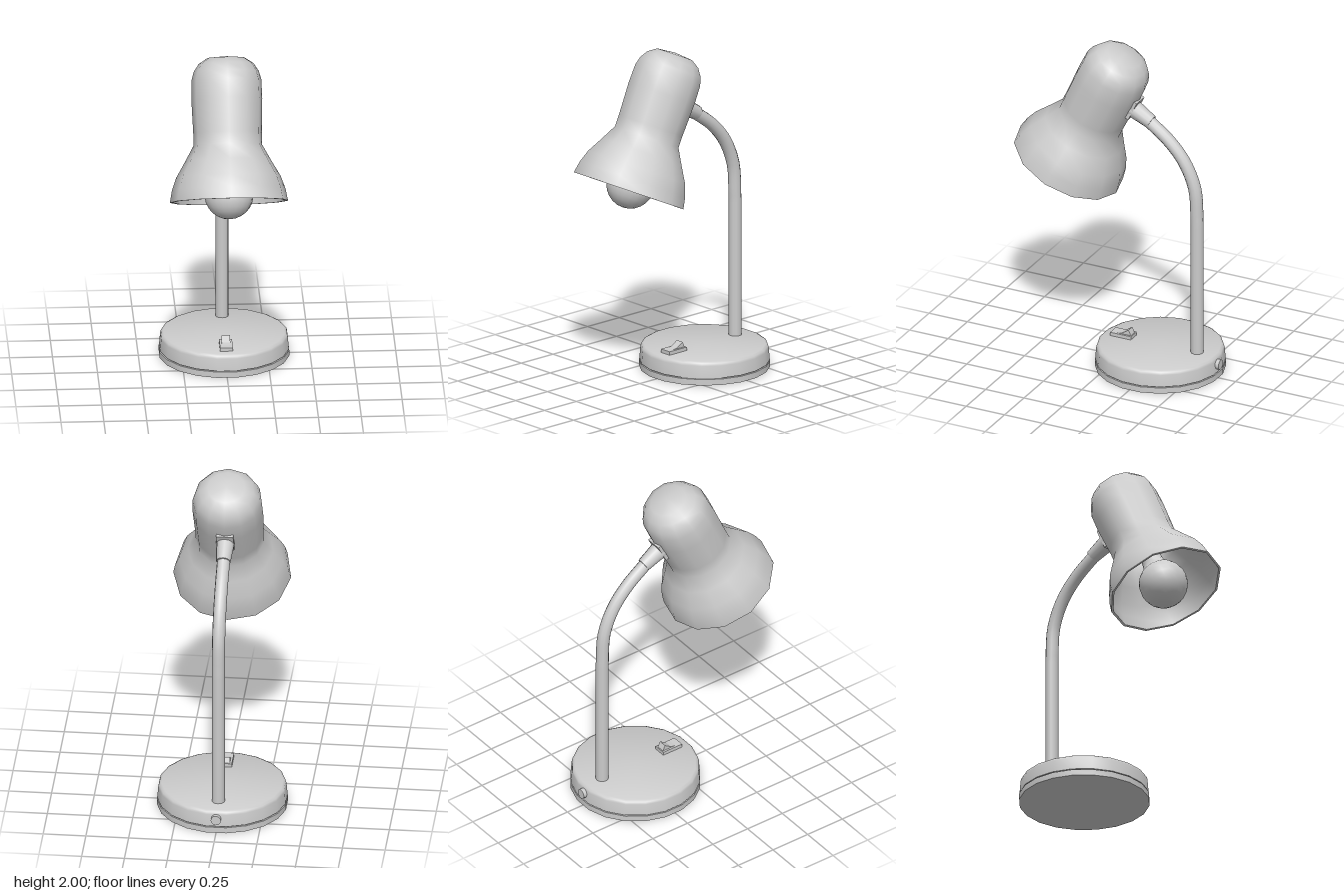
import * as THREE from 'three';
import { toCreasedNormals } from 'three/addons/utils/BufferGeometryUtils.js';

const material = new THREE.MeshStandardMaterial({ color: 0xcccccc });

function part(name, geometry, parent, x = 0, y = 0, z = 0) {
  const mesh = new THREE.Mesh(geometry, material);
  mesh.name = name;
  mesh.position.set(x, y, z);
  parent.add(mesh);
  return mesh;
}

// Revolve [radius, height] pairs listed from bottom to top
function lathe(profile, sides, start = 0) {
  return new THREE.LatheGeometry(profile.map(([r, h]) => new THREE.Vector2(r, h)), sides, start);
}

// Cylinder running from one point to another
function rod(name, a, b, ra, rb, parent) {
  const dir = b.clone().sub(a);
  const mesh = part(name, new THREE.CylinderGeometry(rb, ra, dir.length(), 12), parent);
  mesh.position.copy(a).addScaledVector(dir, 0.5);
  mesh.quaternion.setFromUnitVectors(new THREE.Vector3(0, 1, 0), dir.normalize());
}

export function createModel() {
  const lamp = new THREE.Group();
  lamp.name = 'deskLamp';

  // Round base: bottom ring, narrow groove and softly rounded upper body
  const base = new THREE.Group();
  base.name = 'base';
  base.position.z = -0.26;
  lamp.add(base);
  const sides = 20, start = Math.PI / sides;
  part('baseRing', toCreasedNormals(lathe(
    [[0, 0], [0.382, 0], [0.382, 0.036], [0.372, 0.036], [0.372, 0.045]], sides, start), 0.7), base);
  part('baseBody', toCreasedNormals(lathe(
    [[0.36, 0.042], [0.38, 0.042], [0.374, 0.115], [0.37, 0.13], [0.355, 0.138], [0, 0.139]],
    sides, start), 0.9), base);

  // Rocker switch on the base
  part('switchPlate', new THREE.BoxGeometry(0.075, 0.025, 0.135), lamp, 0, 0.147, -0.018);
  const wedge = new THREE.Shape([[0.02, 0.158], [-0.02, 0.164], [-0.064, 0.192], [-0.08, 0.158]]
    .map(([z, y]) => new THREE.Vector2(-z, y)));
  const rocker = new THREE.ExtrudeGeometry(wedge, { depth: 0.05, bevelEnabled: false });
  rocker.translate(0, 0, -0.025).rotateY(Math.PI / 2);
  part('switchRocker', rocker, lamp);

  // Cable outlet at the rear of the base
  const outlet = new THREE.CylinderGeometry(0.03, 0.03, 0.04, 12).rotateX(Math.PI / 2);
  part('cableOutlet', outlet, lamp, 0, 0.088, -0.633);

  // Straight post bending forward to the shade
  const path = new THREE.CurvePath();
  const bend = [[0.97, -0.5], [1.19, -0.484], [1.35, -0.415], [1.465, -0.315], [1.56, -0.19]]
    .map(([y, z]) => new THREE.Vector3(0, y, z));
  path.add(new THREE.LineCurve3(new THREE.Vector3(0, 0.13, -0.5), bend[0]));
  path.add(new THREE.CatmullRomCurve3(bend));
  part('stem', new THREE.TubeGeometry(path, 32, 0.038, 12), lamp);
  rod('collar', new THREE.Vector3(0, 1.56, -0.2), new THREE.Vector3(0, 1.635, -0.065), 0.042, 0.056, lamp);

  // Tilted head: local y runs up the shade from the centre of its rim
  const head = new THREE.Group();
  head.name = 'head';
  head.position.set(0, 1.2, 0.34);
  head.rotation.x = -0.45;
  lamp.add(head);

  // Shade with an inner wall, from inside crown to rim and back up outside
  const outer = [[0.345, 0], [0.332, 0.07], [0.305, 0.145], [0.25, 0.24], [0.2, 0.33], [0.2, 0.4],
    [0.207, 0.6], [0.204, 0.71], [0.19, 0.76], [0.16, 0.805], [0.11, 0.838], [0, 0.848]];
  const inner = outer.map(([r, h]) => [Math.max(0, r - 0.013), h - 0.013 * (h / 0.848)]).reverse();
  const shade = lathe([...inner, ...outer], 12);
  // Spread the front facets slightly wider than the rear ones
  const p = shade.attributes.position;
  for (let i = 0; i < p.count; i++) {
    const r = Math.hypot(p.getX(i), p.getZ(i));
    const a = Math.atan2(p.getX(i), p.getZ(i));
    const b = a + 0.06 * Math.sin(a);
    p.setXYZ(i, r * Math.sin(b), p.getY(i), r * Math.cos(b));
  }
  part('shade', toCreasedNormals(shade, 0.9), head);

  // Mounting plate on the back of the shade
  part('mountPlate', new THREE.BoxGeometry(0.1, 0.13, 0.03), head, 0, 0.575, -0.198);

  // Bulb with neck, and its socket inside the shade
  const bulb = [];
  for (let i = 0; i <= 10; i++) {
    const a = (i / 10) * 2.5;
    bulb.push([0.143 * Math.sin(a), 0.04 - 0.143 * Math.cos(a)]);
  }
  bulb.push([0.065, 0.2], [0.055, 0.3]);
  part('bulb', lathe(bulb, 20), head);
  part('socket', new THREE.CylinderGeometry(0.07, 0.07, 0.55, 14), head, 0, 0.56, 0);

  return lamp;
}
